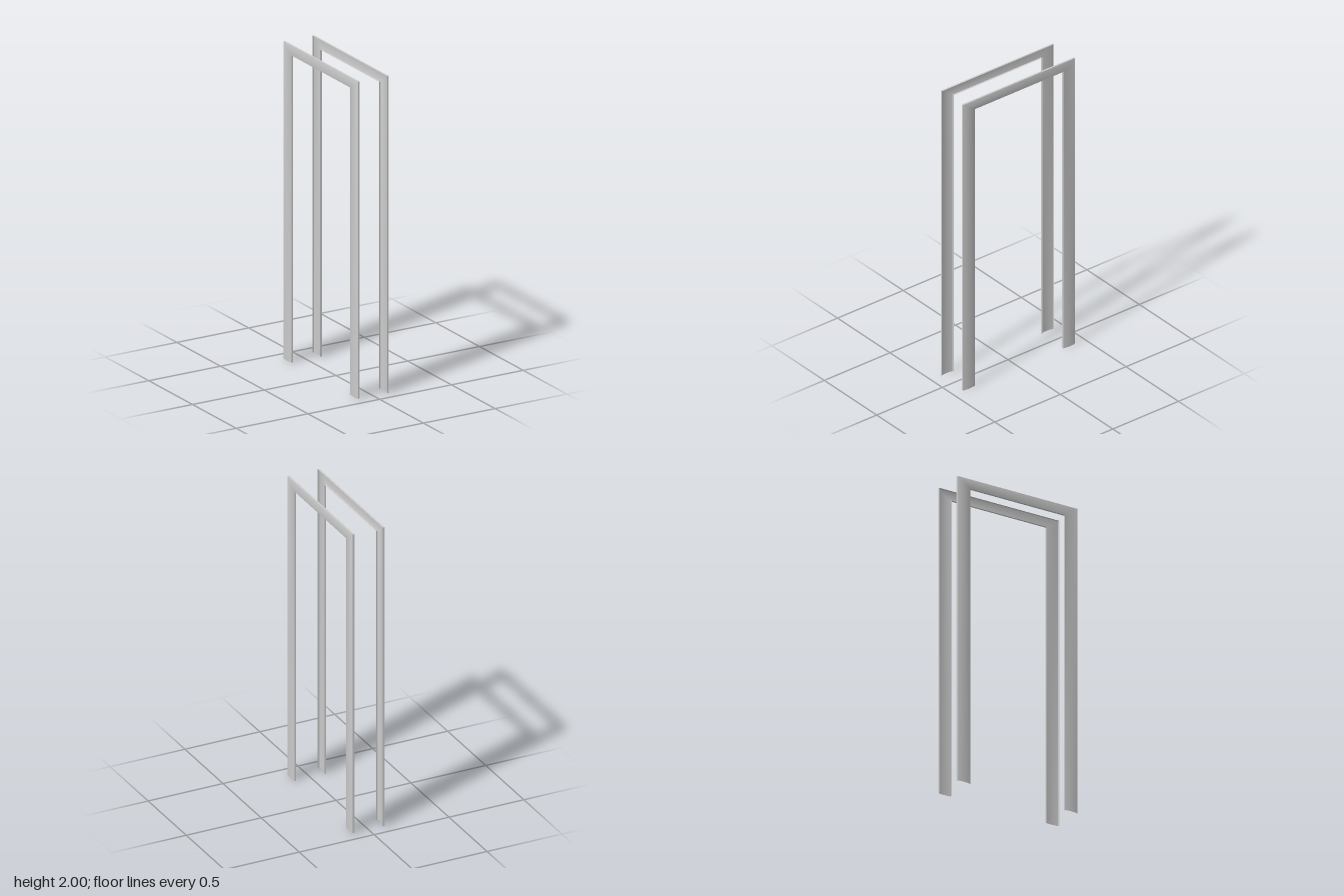
import * as THREE from 'three';
import { toCreasedNormals } from 'three/addons/utils/BufferGeometryUtils.js';

const HALF_WIDTH = 0.426, HEIGHT = 2;
const LEG_WIDTH = 0.089, HEAD_DEPTH = 0.063;
const BACK = 0.0945, SHOULDER = 0.106, BULGE = 0.0047;

// Casing cross-section: [t across the band from outer to inner edge, distance x]
function casingProfile(steps = 10) {
  const points = [[0, BACK]];
  for (let i = 0; i <= steps; i++) {
    const t = i / steps;
    points.push([t, SHOULDER + BULGE * 4 * t * (1 - t)]);
  }
  points.push([1, BACK]);
  return points;
}

// Sweep the open-backed profile up one leg, across the head and down the other, with mitred corners
function casingGeometry(side) {
  const profile = casingProfile(), n = profile.length;
  const stations = [[1, false], [1, true], [-1, true], [-1, false]];
  const positions = [], index = [];
  for (const [end, atHead] of stations) {
    for (const [t, x] of profile) {
      positions.push(side * x, atHead ? HEIGHT - HEAD_DEPTH * t : 0, end * (HALF_WIDTH - LEG_WIDTH * t));
    }
  }
  for (let s = 0; s < stations.length - 1; s++) {
    for (let j = 0; j < n - 1; j++) {
      const a = s * n + j, b = a + 1, c = a + n, d = c + 1;
      if (side > 0) index.push(a, b, c, b, d, c);
      else index.push(a, c, b, b, c, d);
    }
  }
  const geometry = new THREE.BufferGeometry();
  geometry.setAttribute('position', new THREE.Float32BufferAttribute(positions, 3));
  geometry.setIndex(index);
  return toCreasedNormals(geometry, Math.PI / 6);
}

export function createModel() {
  const model = new THREE.Group();
  model.name = 'doorCasing';
  const material = new THREE.MeshStandardMaterial({ color: 0xcccccc, side: THREE.DoubleSide });

  // One casing on each face of the wall, bulging outwards
  for (const [name, side] of [['leftCasing', 1], ['rightCasing', -1]]) {
    const casing = new THREE.Mesh(casingGeometry(side), material);
    casing.name = name;
    model.add(casing);
  }
  return model;
}
